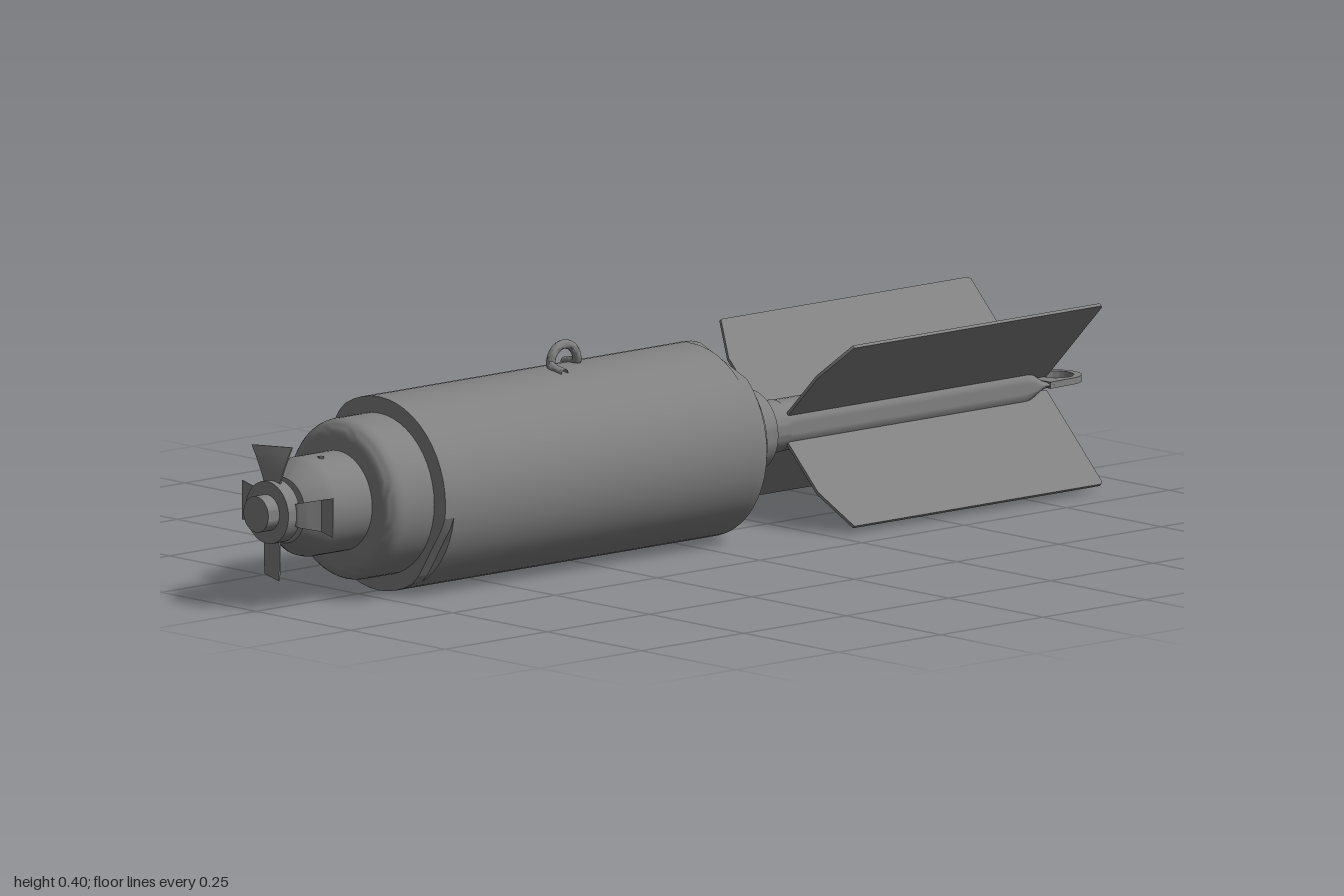
import * as THREE from 'three';
import { toCreasedNormals } from 'three/addons/utils/BufferGeometryUtils.js';

const R = 0.177; // body radius, also the height of the long axis
const SIDES = 48;
const mat = new THREE.MeshStandardMaterial({ color: 0x808080, side: THREE.DoubleSide });

export function createModel() {
  const group = new THREE.Group();
  group.name = 'finnedBomb';

  const add = (name, geometry, crease = 0.6) => {
    const mesh = new THREE.Mesh(toCreasedNormals(geometry, crease), mat);
    mesh.name = name;
    mesh.position.y = R;
    group.add(mesh);
    return mesh;
  };

  // Revolved part along z, profile given as [radius, z] from back to front
  const turned = (name, profile) => {
    const points = profile.map(([r, z]) => new THREE.Vector2(r, z));
    return add(name, new THREE.LatheGeometry(points, SIDES).rotateX(Math.PI / 2));
  };

  // Quarter-round corner points between two angles
  const round = (r, z, radius, from, to) => Array.from({ length: 7 }, (_, i) => {
    const a = from + (to - from) * i / 6;
    return [r + radius * Math.cos(a), z + radius * Math.sin(a)];
  });

  // Short body end with two opposite flats: rim points beyond a flat move in to it
  const flattedEnd = (name, z0, z1, degrees) => {
    const a = THREE.MathUtils.degToRad(degrees);
    const limit = R * Math.cos(0.4);
    const geometry = new THREE.CylinderGeometry(R, R, z1 - z0, SIDES)
      .rotateX(Math.PI / 2).translate(0, 0, (z0 + z1) / 2);
    const p = geometry.attributes.position;
    for (let i = 0; i < p.count; i++) {
      const reach = Math.abs(p.getX(i) * Math.cos(a) + p.getY(i) * Math.sin(a));
      const s = Math.min(1, limit / Math.max(reach, 1e-6));
      p.setXY(i, p.getX(i) * s, p.getY(i) * s);
    }
    add(name, geometry, 0.2);
  };

  // Main body
  turned('body', [[0, -0.065], [R, -0.065], [R, 0.678], [0, 0.678]]);
  flattedEnd('frontRim', 0.678, 0.7, 147);
  flattedEnd('rearRim', -0.085, -0.065, 68);

  // Collars and nose
  turned('frontCollar', [[0.147, 0.69], ...round(0.117, 0.77, 0.03, 0, Math.PI / 2), [0, 0.8]]);
  turned('rearCollar', [[0, -0.13], ...round(0.12, -0.105, 0.025, -Math.PI / 2, 0), [0.145, -0.07]]);
  turned('nose', [[0.091, 0.79], [0.091, 0.885], [0.087, 0.9], [0.06, 0.935], [0, 0.935]]);
  turned('propellerHub', [[0.045, 0.93], [0.045, 0.945], [0.057, 0.945], [0.057, 0.973],
    [0.033, 0.973], [0.033, 1], [0, 1]]);
  const pin = add('nosePin', new THREE.CylinderGeometry(0.006, 0.006, 0.008, 10));
  pin.position.set(0.02, R + 0.087, 0.86);

  // Propeller: the upright blades are twisted, the sideways ones cranked back
  for (let i = 0; i < 4; i++) {
    const blade = new THREE.BoxGeometry(1, 1, 0.003, 1, 10, 1);
    const p = blade.attributes.position;
    for (let j = 0; j < p.count; j++) {
      const t = p.getY(j) + 0.5;
      const r = 0.047 + 0.073 * t;
      const across = p.getX(j) * 2 * (0.019 + 0.017 * t);
      const offset = i % 2 ? -THREE.MathUtils.clamp(r - 0.06, 0, 0.03) : -across * 0.45 * t;
      p.setXYZ(j, across, r, p.getZ(j) + offset);
    }
    const mesh = add('propellerBlade', blade);
    mesh.position.z = i % 2 ? 0.952 : 0.96;
    mesh.rotation.z = i * Math.PI / 2;
  }

  // Stepped tail coupling
  turned('tailCoupling', [[0, -0.265], [0.048, -0.265], [0.048, -0.207], [0.075, -0.207], [0.075, -0.168],
    [0.081, -0.165], [0.09, -0.15], [0.09, -0.14], [0.092, -0.125]]);

  // Tail stem, pressed flat towards its rear end
  const stem = new THREE.CylinderGeometry(0.047, 0.047, 0.66, 32, 66).rotateX(Math.PI / 2).translate(0, 0, -0.575);
  const sp = stem.attributes.position;
  for (let i = 0; i < sp.count; i++) {
    const f = THREE.MathUtils.smoothstep(-sp.getZ(i), 0.84, 0.9);
    sp.setX(i, sp.getX(i) * (1 + 0.06 * f));
    sp.setY(i, sp.getY(i) * (1 - 0.87 * f));
  }
  add('tailStem', stem);

  // Flat eye at the very end
  const eye = new THREE.Shape();
  eye.moveTo(-0.05, -0.895);
  eye.lineTo(0.05, -0.895);
  eye.lineTo(0.047, -0.953);
  eye.absarc(0, -0.953, 0.047, 0, -Math.PI, true);
  eye.closePath();
  const eyeHole = new THREE.Path();
  eyeHole.absarc(0, -0.953, 0.033, 0, Math.PI * 2, false);
  eye.holes.push(eyeHole);
  add('tailEye', new THREE.ExtrudeGeometry(eye, { depth: 0.012, bevelEnabled: false, curveSegments: 24 })
    .rotateX(Math.PI / 2).translate(0, 0.006, 0));

  // Four diagonal fins with a clipped front corner, drawn as (radius, z),
  // each pair set slightly off the axis
  const fin = new THREE.Shape([[0.02, -0.262], [0.15, -0.262], [0.233, -0.297], [0.233, -0.9], [0.228, -0.905], [0.02, -0.905]]
    .map(([r, z]) => new THREE.Vector2(r, z)));
  for (let i = 0; i < 4; i++) {
    const geometry = new THREE.ExtrudeGeometry(fin, { depth: 0.006, bevelEnabled: false })
      .rotateX(Math.PI / 2).translate(0, 0.003, 0);
    const mesh = add('tailFin', geometry);
    mesh.rotation.z = Math.PI / 4 + i * Math.PI / 2;
    mesh.position.x = 0.012 * Math.sign(Math.cos(mesh.rotation.z));
  }

  // Suspension lug: bent rod with two feet turned opposite ways
  const arch = Array.from({ length: 9 }, (_, i) => {
    const a = Math.PI * i / 8;
    return new THREE.Vector3(0, 0.183 + 0.032 * Math.sin(a), 0.248 - 0.032 * Math.cos(a));
  });
  const path = new THREE.CatmullRomCurve3([
    new THREE.Vector3(-0.044, 0.172, 0.206), new THREE.Vector3(-0.015, 0.178, 0.209),
    ...arch,
    new THREE.Vector3(0.015, 0.178, 0.287), new THREE.Vector3(0.044, 0.172, 0.286),
  ]);
  add('suspensionLug', new THREE.TubeGeometry(path, 60, 0.0085, 12), 1);

  return group;
}
